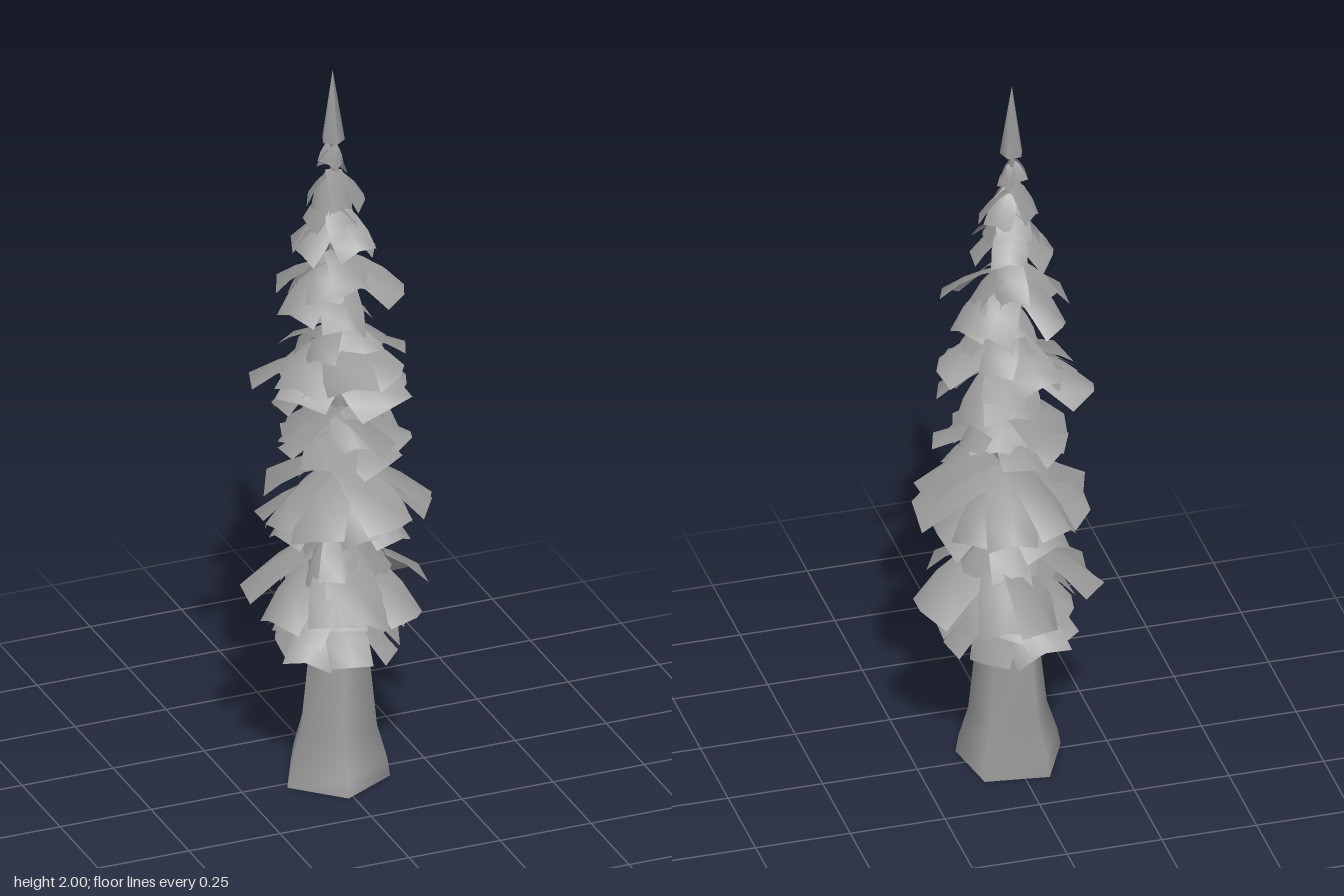
import * as THREE from 'three';

const grey = new THREE.MeshStandardMaterial({ color: 0x999999, side: THREE.DoubleSide });
grey.name = 'stone grey';

// Small seeded generator so every build grows the same tree
let seed = 11;
const rand = () => {
  seed = (seed * 16807) % 2147483647;
  return seed / 2147483647;
};
const vary = (a) => (rand() * 2 - 1) * a;

function addMesh(parent, geometry, name) {
  const mesh = new THREE.Mesh(geometry, grey);
  mesh.name = name;
  parent.add(mesh);
  return mesh;
}

// Trunk rings: height, radius, centre x, centre z
const rings = [
  [0, 0.142, 0.005, -0.004], [0.05, 0.133, 0.007, -0.006], [0.14, 0.106, 0.01, -0.01],
  [0.4, 0.078, 0.013, -0.012], [0.62, 0.047, 0.02, -0.013], [0.9, 0.033, 0.022, -0.014],
  [1.3, 0.023, 0.014, -0.015], [1.82, 0.007, 0.005, -0.015],
];

function trunkGeometry() {
  const sides = 5, pos = [], index = [];
  rings.forEach(([y, r, cx, cz]) => {
    for (let i = 0; i < sides; i++) {
      const a = (i / sides) * Math.PI * 2 + 0.45;
      pos.push(cx + Math.cos(a) * r, y, cz + Math.sin(a) * r);
    }
  });
  for (let k = 0; k < rings.length - 1; k++) {
    for (let i = 0; i < sides; i++) {
      const a = k * sides + i, b = k * sides + ((i + 1) % sides);
      index.push(a, a + sides, b, b, a + sides, b + sides);
    }
  }
  const g = new THREE.BufferGeometry();
  g.setAttribute('position', new THREE.Float32BufferAttribute(pos, 3));
  g.setIndex(index);
  g.computeVertexNormals();
  return g;
}

// One drooping leaf card, growing along +x, folded down on both sides of its spine
function leafGeometry(length, width, drop, fold) {
  const g = new THREE.PlaneGeometry(1, 1, 3, 2);
  const p = g.attributes.position;
  const skew = vary(0.3);
  for (let i = 0; i < p.count; i++) {
    const t = p.getX(i) + 0.5, s = p.getY(i) * 2;
    const half = (width / 2) * (0.65 + 0.35 * Math.min(1, t * 1.6));
    const x = length * t * (1 - 0.13 * Math.abs(s) * t) + skew * s * half * t;
    const y = -drop * (0.45 * t + 0.55 * t * t) - fold * Math.abs(s) * half * (0.4 + 0.6 * t);
    p.setXYZ(i, x, y, -s * half);
  }
  g.computeVertexNormals();
  return g;
}

// Tiers: root height, tip height, reach, card width, card count
const tiers = [
  [0.49, 0.38, 0.20, 0.13, 8], [0.57, 0.46, 0.19, 0.13, 7],
  [0.67, 0.53, 0.25, 0.13, 8, [-19, -68, -109, -163, 90, 116, 60, 158]],
  [0.73, 0.60, 0.16, 0.12, 6],
  [0.84, 0.73, 0.21, 0.14, 7], [0.90, 0.78, 0.235, 0.14, 7, [22, 8, 75, 135, 172, -80, -125]],
  [1.00, 0.95, 0.20, 0.13, 7], [1.06, 0.99, 0.17, 0.12, 6],
  [1.20, 0.11 + 1.0, 0.22, 0.13, 7], [1.24, 1.17, 0.19, 0.12, 7], [1.29, 1.22, 0.13, 0.1, 5],
  [1.35, 1.30, 0.10, 0.09, 4], [1.45, 1.35, 0.185, 0.11, 6], [1.48, 1.40, 0.12, 0.1, 5],
  [1.60, 1.52, 0.12, 0.09, 5], [1.64, 1.57, 0.08, 0.08, 4],
  [1.71, 1.63, 0.08, 0.08, 5], [1.78, 1.73, 0.03, 0.045, 4],
];

// Trunk centre at a given height
function centre(y) {
  const k = Math.min(rings.length - 2, rings.findIndex((r) => r[0] > y) - 1);
  const a = rings[k], b = rings[k + 1], t = (y - a[0]) / (b[0] - a[0]);
  return [a[2] + (b[2] - a[2]) * t, a[3] + (b[3] - a[3]) * t];
}

export function createModel() {
  seed = 11;
  const tree = new THREE.Group();
  tree.name = 'conifer';

  addMesh(tree, trunkGeometry(), 'trunk');
  const base = addMesh(tree, new THREE.CircleGeometry(rings[0][1], 5, -0.45), 'trunkBase');
  base.geometry.rotateX(Math.PI / 2).rotateY(-0.9);
  base.position.set(rings[0][2], 0, rings[0][3]);

  // Pointed crown
  const crown = addMesh(tree, new THREE.ConeGeometry(0.031, 0.2, 5), 'crown');
  crown.position.set(0.005, 1.9, -0.015);

  // Foliage tiers
  tiers.forEach(([root, tip, reach, width, count, angles], n) => {
    const tier = new THREE.Group();
    tier.name = 'branchTier' + (n + 1);
    const [cx, cz] = centre(root);
    const start = rand() * 360;
    for (let i = 0; i < count; i++) {
      const deg = angles ? angles[i] : start + (i * 360) / count + vary(16);
      const length = reach * (angles ? 1 : 0.9 + vary(0.12));
      const leaf = addMesh(tier, leafGeometry(length, width * (1 + vary(0.2)), root - tip, 0.35 + vary(0.2)), 'leafCard');
      leaf.rotation.set(vary(0.3), (-deg * Math.PI) / 180, 0, 'YXZ');
      leaf.position.set(cx, root + vary(0.02), cz);
    }
    tree.add(tier);
  });
  return tree;
}
